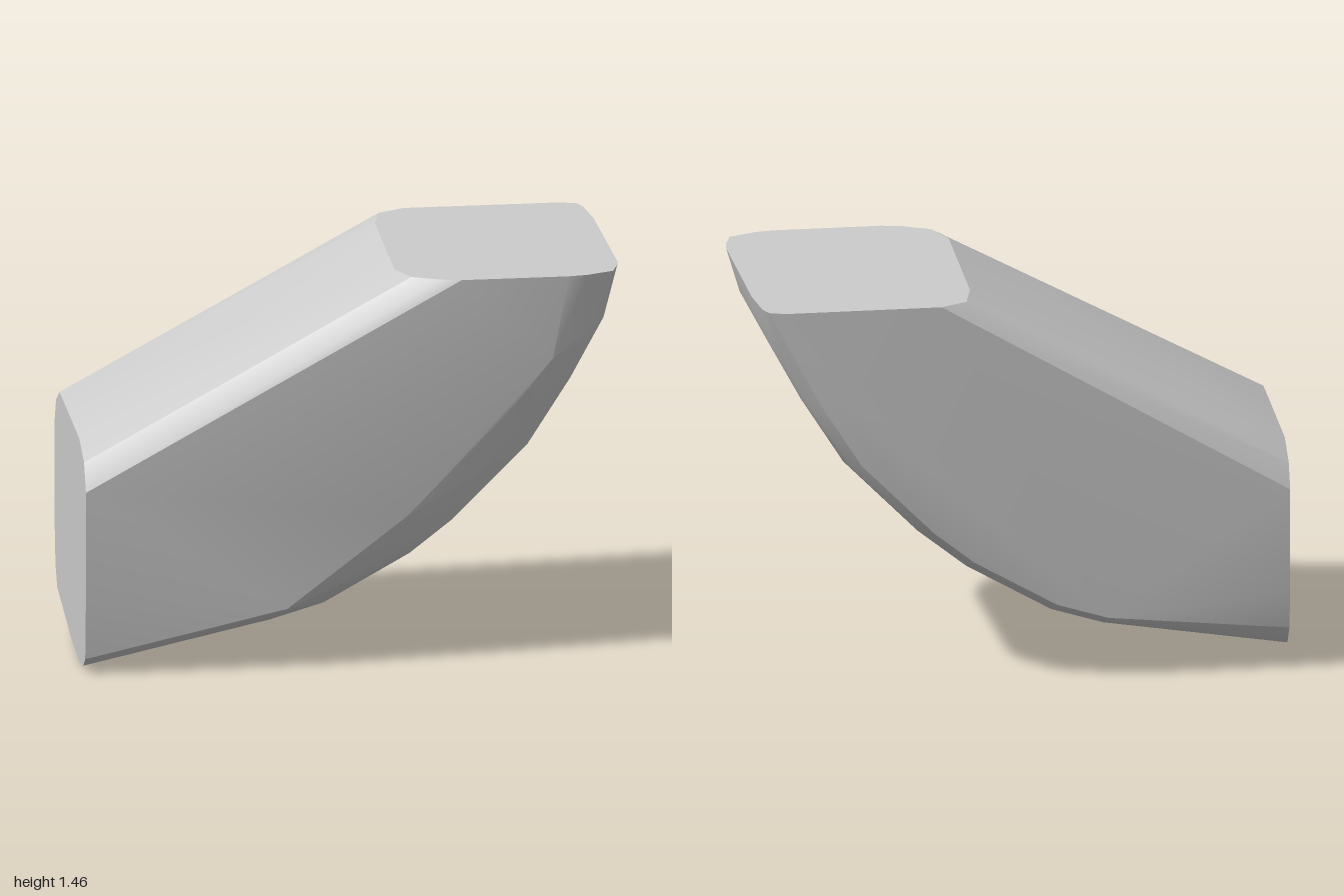
import * as THREE from 'three';
import { ConvexGeometry } from 'three/addons/geometries/ConvexGeometry.js';
import { toCreasedNormals } from 'three/addons/utils/BufferGeometryUtils.js';

// Slightly skewed flat side faces
const frontZ = (x) => 0.53 - 0.033 * x;
const backZ = (x) => -0.54 - 0.033 * x;

export function createModel() {
  const points = [];
  const add = (x, y, z) => points.push(new THREE.Vector3(x, y, z));

  // Upright end cut at x = -1, as [y, z] around the rounded outline
  const endCut = [
    [0.85, -0.34], [0.79, -0.46], [0.7, backZ(-1)], [0.3, backZ(-1)],
    [0.16, -0.48], [0.085, -0.42], [0.015, 0.07], [0, 0.34], [0.02, 0.48],
    [0.06, 0.54], [0.29, frontZ(-1)], [0.7, frontZ(-1)], [0.8, 0.5], [0.85, 0.33],
  ];
  endCut.forEach(([y, z]) => add(-1, y, z));

  // Level top cut at y = 1.46, as [x, z] around the rounded outline
  const topCut = [
    [0.17, -0.34], [0.2, -0.49], [0.3, backZ(0.3)], [0.88, backZ(0.88)],
    [0.94, -0.55], [0.96, -0.5], [0.98, -0.33], [1, 0.3], [0.995, 0.35],
    [0.97, 0.44], [0.87, 0.49], [0.8, frontZ(0.8)], [0.4, frontZ(0.4)],
    [0.32, 0.5], [0.22, 0.45], [0.17, 0.33],
  ];
  topCut.forEach(([x, z]) => add(x, 1.46, z));

  // Curved outer wall: [x, y, inward normal x, inward normal y]
  const outer = [
    [-0.3, 0.155, -0.24, 0.97], [-0.1, 0.215, -0.37, 0.93],
    [0.22, 0.395, -0.5, 0.86], [0.38, 0.52, -0.62, 0.78],
    [0.66, 0.8, -0.78, 0.62], [0.82, 1.05, -0.85, 0.53],
    [0.945, 1.28, -0.92, 0.39],
  ];
  for (const [x, y, nx, ny] of outer) {
    // Wall and rounded shoulders: [z, inward offset]
    for (const [z, d] of [[0.34, 0], [0.44, 0.012], [-0.34, 0.025], [-0.46, 0.045], [-0.535, 0.085]]) {
      add(x + nx * d, y + ny * d, z);
    }
    add(x + nx * 0.14, y + ny * 0.14, backZ(x + nx * 0.14));
  }

  // Edge where the front face meets its wide bevel
  for (const [x, y] of [[-0.25, 0.23], [0.2, 0.57], [0.6, 0.98], [0.74, 1.15]]) {
    add(x, y, frontZ(x));
  }

  const body = new THREE.Mesh(
    toCreasedNormals(new ConvexGeometry(points), 0.42),
    new THREE.MeshStandardMaterial({ color: 0xcccccc })
  );
  body.name = 'curvedBlock';

  const group = new THREE.Group();
  group.name = 'cutBlock';
  group.add(body);
  return group;
}
